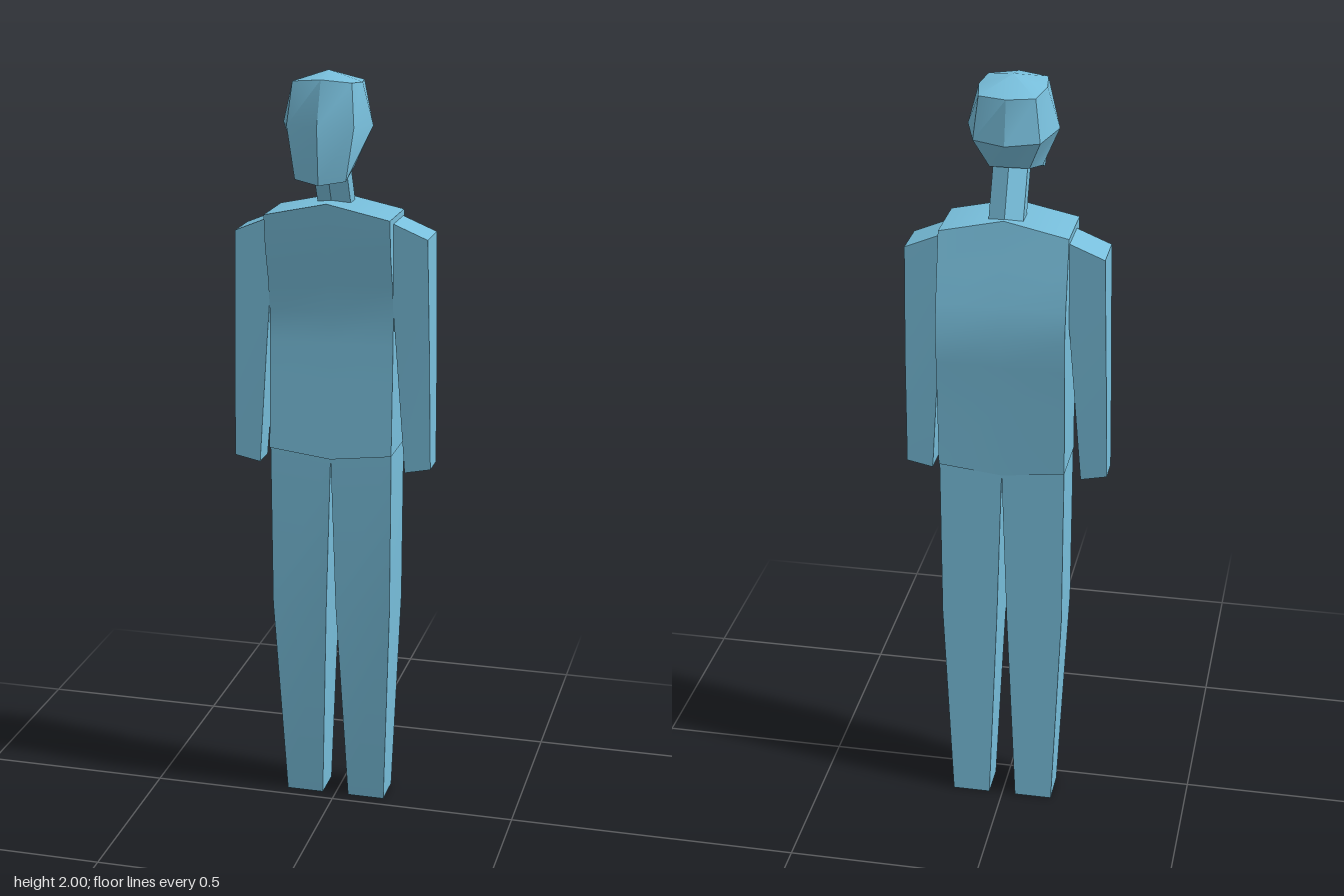
import * as THREE from 'three';
import { toCreasedNormals } from 'three/addons/utils/BufferGeometryUtils.js';

const material = new THREE.MeshStandardMaterial({ color: 0x78bfdc });

const middle = (ring) => [0, 1, 2].map((k) => ring.reduce((sum, p) => sum + p[k], 0) / ring.length);

// Closed skin over rings listed bottom to top, each running front, +x, back, -x.
function loft(name, rings, bottom = middle(rings[0]), top = middle(rings[rings.length - 1])) {
  const n = rings[0].length;
  const last = (rings.length - 1) * n;
  const points = [...rings.flat(), bottom, top];
  const index = [];
  for (let i = 0; i < n; i++) {
    const j = (i + 1) % n;
    for (let r = 0; r < last; r += n) {
      index.push(r + i, r + j, r + n + j, r + i, r + n + j, r + n + i);
    }
    index.push(points.length - 2, j, i, points.length - 1, last + i, last + j);
  }
  const geometry = new THREE.BufferGeometry();
  geometry.setAttribute('position', new THREE.Float32BufferAttribute(points.flat(), 3));
  geometry.setIndex(index);
  const mesh = new THREE.Mesh(toCreasedNormals(geometry, 0.5), material);
  mesh.name = name;
  return mesh;
}

// Symmetric ring from its +x half, listed front to back.
const mirrorRing = (half) => [...half, ...half.slice(1, -1).reverse().map(([x, y, z]) => [-x, y, z])];

// Four-cornered limb section; the inner and outer edges may differ in height.
function limbRing(side, [inner, outer, yInner, yOuter, front, back]) {
  const ring = [[inner, yInner, front], [outer, yOuter, front], [outer, yOuter, back], [inner, yInner, back]]
    .map(([x, y, z]) => [x * side, y, z]);
  return side > 0 ? ring : ring.reverse();
}

export function createModel() {
  const model = new THREE.Group();
  model.name = 'figure';

  // Torso: height at the side, height at the centre, front z, back z
  const torso = [
    [1.01, 0.99, 0.024, -0.135],
    [1.2, 1.19, 0.016, -0.143],
    [1.3, 1.3, 0.012, -0.149],
    [1.38, 1.38, 0.011, -0.154],
    [1.46, 1.46, 0.024, -0.143],
    [1.55, 1.56, 0.05, -0.122],
    [1.635, 1.67, 0.06, -0.102],
  ].map(([ySide, yMid, front, back]) => mirrorRing([
    [0, yMid, front], [0.163, ySide, front], [0.163, ySide, back], [0, yMid, back + 0.003],
  ]));
  model.add(loft('torso', torso, [0, 0.99, -0.055], [0, 1.67, -0.02]));

  // Arms and legs: inner x, outer x, inner y, outer y, front z, back z
  const arm = [
    [0.195, 0.263, 0.963, 0.977, 0.005, -0.066],
    [0.172, 0.258, 1.28, 1.28, 0.012, -0.083],
    [0.145, 0.251, 1.627, 1.583, 0.019, -0.093],
  ];
  const leg = [
    [0.036, 0.136, 0, 0, -0.035, -0.132],
    [0.013, 0.16, 0.57, 0.57, 0.014, -0.132],
    [0, 0.162, 0.995, 1.012, 0.018, -0.13],
  ];
  for (const [side, label] of [[1, 'left'], [-1, 'right']]) {
    model.add(loft(`${label}Arm`, arm.map((row) => limbRing(side, row))));
    model.add(loft(`${label}Leg`, leg.map((row) => limbRing(side, row))));
  }

  // Neck: six-sided column leaning forward into the head
  const neck = [[1.63, -0.058], [1.82, 0.036]].map(([y, z]) =>
    Array.from({ length: 6 }, (_, i) => {
      const a = (i * Math.PI) / 3;
      return [0.05 * Math.sin(a), y, z + 0.048 * Math.cos(a)];
    }));
  model.add(loft('neck', neck));

  // Head: jaw, temple and crown rings with a shallow domed top
  const head = [
    [[0, 1.73, 0.14], [0.065, 1.74, 0.12], [0.07, 1.765, 0.055], [0.05, 1.78, -0.02], [0, 1.785, -0.035]],
    [[0, 1.875, 0.153], [0.085, 1.872, 0.12], [0.115, 1.868, 0.04], [0.083, 1.858, -0.06], [0, 1.855, -0.089]],
    [[0, 1.985, 0.113], [0.075, 1.978, 0.1], [0.085, 1.972, 0.03], [0.07, 1.967, -0.052], [0, 1.965, -0.067]],
  ].map(mirrorRing);
  model.add(loft('head', head, [0, 1.765, 0.055], [0, 2, 0.035]));

  return model;
}
